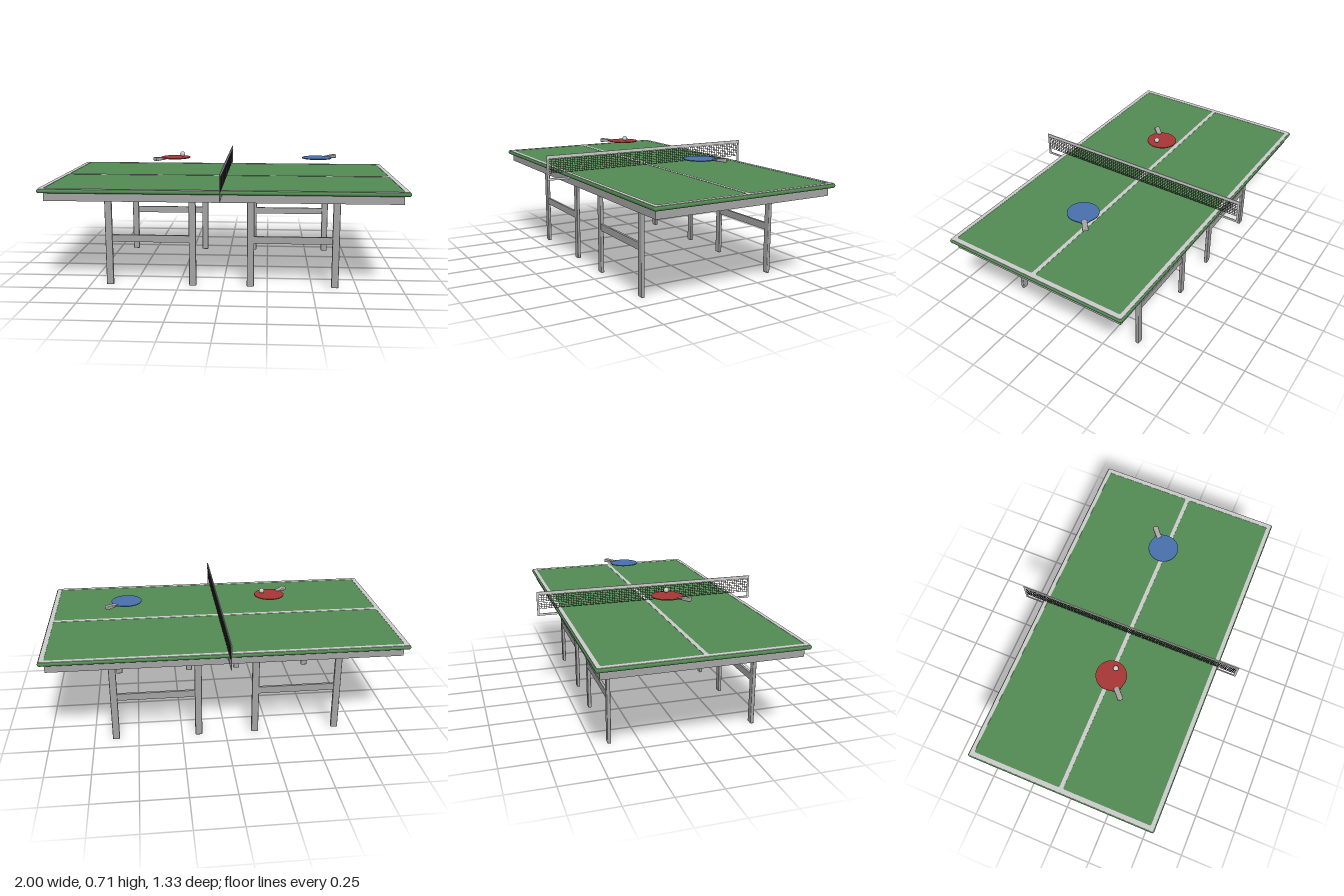
import * as THREE from 'three';
import { mergeGeometries } from 'three/addons/utils/BufferGeometryUtils.js';
import { RoundedBoxGeometry } from 'three/addons/geometries/RoundedBoxGeometry.js';

const material = (name, color) => {
  const m = new THREE.MeshStandardMaterial({ color });
  m.name = name;
  return m;
};

// Box geometry moved to its centre
const boxAt = (w, h, d, x, y, z) => new THREE.BoxGeometry(w, h, d).translate(x, y, z);

// Rounded rectangle outline
function roundRect(path, x0, y0, x1, y1, r) {
  path.moveTo(x0 + r, y0);
  path.lineTo(x1 - r, y0);
  path.quadraticCurveTo(x1, y0, x1, y0 + r);
  path.lineTo(x1, y1 - r);
  path.quadraticCurveTo(x1, y1, x1 - r, y1);
  path.lineTo(x0 + r, y1);
  path.quadraticCurveTo(x0, y1, x0, y1 - r);
  path.lineTo(x0, y0 + r);
  path.quadraticCurveTo(x0, y0, x0 + r, y0);
  return path;
}

export function createModel() {
  const model = new THREE.Group();
  model.name = 'tableTennisTable';

  const green = material('table green', 0x528a52);
  const white = material('line white', 0xcccccc);
  const grey = material('frame grey', 0xa4a4a4);
  const dark = material('net dark', 0x3c3c3c);
  const red = material('red rubber', 0xa83636);
  const blue = material('blue rubber', 0x4870ac);
  const wood = material('handle grey', 0xaaa8a4);

  const add = (name, geometry, mat, parent = model) => {
    const mesh = new THREE.Mesh(geometry, mat);
    mesh.name = name;
    parent.add(mesh);
    return mesh;
  };

  // Table top with a rounded edge
  add('tableTop', new RoundedBoxGeometry(2, 0.023, 1.1, 4, 0.011), green).position.y = 0.5565;

  // Painted border and centre line, one thin plate with two openings
  const lines = roundRect(new THREE.Shape(), -0.994, -0.544, 0.994, 0.544, 0.012);
  for (const [a, b] of [[-0.522, -0.011], [0.011, 0.522]]) {
    lines.holes.push(roundRect(new THREE.Path(), -0.968, a, 0.968, b, 0.01));
  }
  const lineGeometry = new THREE.ExtrudeGeometry(lines, { depth: 0.003, bevelEnabled: false, curveSegments: 6 });
  add('boundaryLines', lineGeometry.rotateX(-Math.PI / 2).translate(0, 0.5665, 0), white);
  add('undersideSeam', boxAt(1.9, 0.002, 0.004, 0, 0.5448, 0), grey);

  // Apron under the top
  const apron = [];
  for (const s of [-1, 1]) {
    apron.push(boxAt(1.936, 0.046, 0.03, 0, 0.523, s * 0.51));
    apron.push(boxAt(0.03, 0.046, 0.99, s * 0.953, 0.523, 0));
  }
  add('apron', mergeGeometries(apron), grey);

  // Four leg frames, each with two legs and a cross bar
  for (const z of [-0.41, 0.41]) {
    for (const [a, b] of [[-0.64, -0.17], [0.155, 0.627]]) {
      const frame = new THREE.Group();
      frame.name = 'legFrame';
      for (const x of [a, b]) {
        add('leg', new RoundedBoxGeometry(0.04, 0.547, 0.02, 2, 0.005), grey, frame).position.set(x, 0.2735, z);
      }
      add('crossBar', boxAt(b - a - 0.03, 0.04, 0.014, (a + b) / 2, 0.27, z), grey, frame);
      model.add(frame);
    }
  }

  // Net frame
  const net = new THREE.Group();
  net.name = 'net';
  model.add(net);
  add('netFrame', mergeGeometries([
    boxAt(0.005, 0.019, 1.326, 0, 0.6645, 0),
    boxAt(0.005, 0.012, 1.326, 0, 0.538, 0),
    boxAt(0.005, 0.111, 0.012, 0, 0.5995, 0.657),
    boxAt(0.005, 0.111, 0.012, 0, 0.5995, -0.657),
  ]), white, net);

  // Net cords
  const cords = [];
  for (let i = 0; i < 8; i++) cords.push(boxAt(0.002, 0.002, 1.302, 0, 0.574 + i * 0.0108, 0));
  for (let i = 1; i < 90; i++) cords.push(boxAt(0.002, 0.082, 0.002, 0, 0.614, -0.651 + i * 1.302 / 90));
  add('netCords', mergeGeometries(cords), dark, net);

  // Bats: local +x runs from the blade centre to the handle
  const bladeShape = new THREE.Shape();
  bladeShape.absarc(0, 0, 0.087, 0.5, Math.PI * 2 - 0.5, false);
  bladeShape.quadraticCurveTo(0.085, -0.025, 0.1, -0.014);
  bladeShape.lineTo(0.1, 0.014);
  bladeShape.quadraticCurveTo(0.085, 0.025, 0.0763, 0.0417);
  const addBat = (name, x, z, dx, dz, rubber) => {
    const bat = new THREE.Group();
    bat.name = name;
    const blade = new THREE.ExtrudeGeometry(bladeShape, { depth: 0.005, bevelEnabled: false, curveSegments: 32 });
    add('blade', blade.rotateX(-Math.PI / 2).translate(0, -0.0025, 0), rubber, bat);
    // Handle narrowing towards the blade
    const handle = new RoundedBoxGeometry(0.078, 0.023, 0.033, 3, 0.006);
    const p = handle.attributes.position;
    for (let i = 0; i < p.count; i++) {
      const t = THREE.MathUtils.clamp((p.getX(i) + 0.039) / 0.078, 0, 1);
      p.setY(i, p.getY(i) * (0.5 + 0.5 * t));
      p.setZ(i, p.getZ(i) * (0.85 + 0.15 * t));
    }
    handle.computeVertexNormals();
    add('handle', handle, wood, bat).position.x = 0.112;
    bat.position.set(x, 0.679, z);
    bat.rotation.y = Math.atan2(-dz, dx);
    model.add(bat);
  };
  addBat('redBat', -0.308, 0.02, -0.098, 0.091, red);
  addBat('blueBat', 0.537, 0, 0.1, -0.085, blue);

  // Ball
  add('ball', new THREE.SphereGeometry(0.015, 24, 16), white).position.set(-0.265, 0.7, 0.03);

  return model;
}
